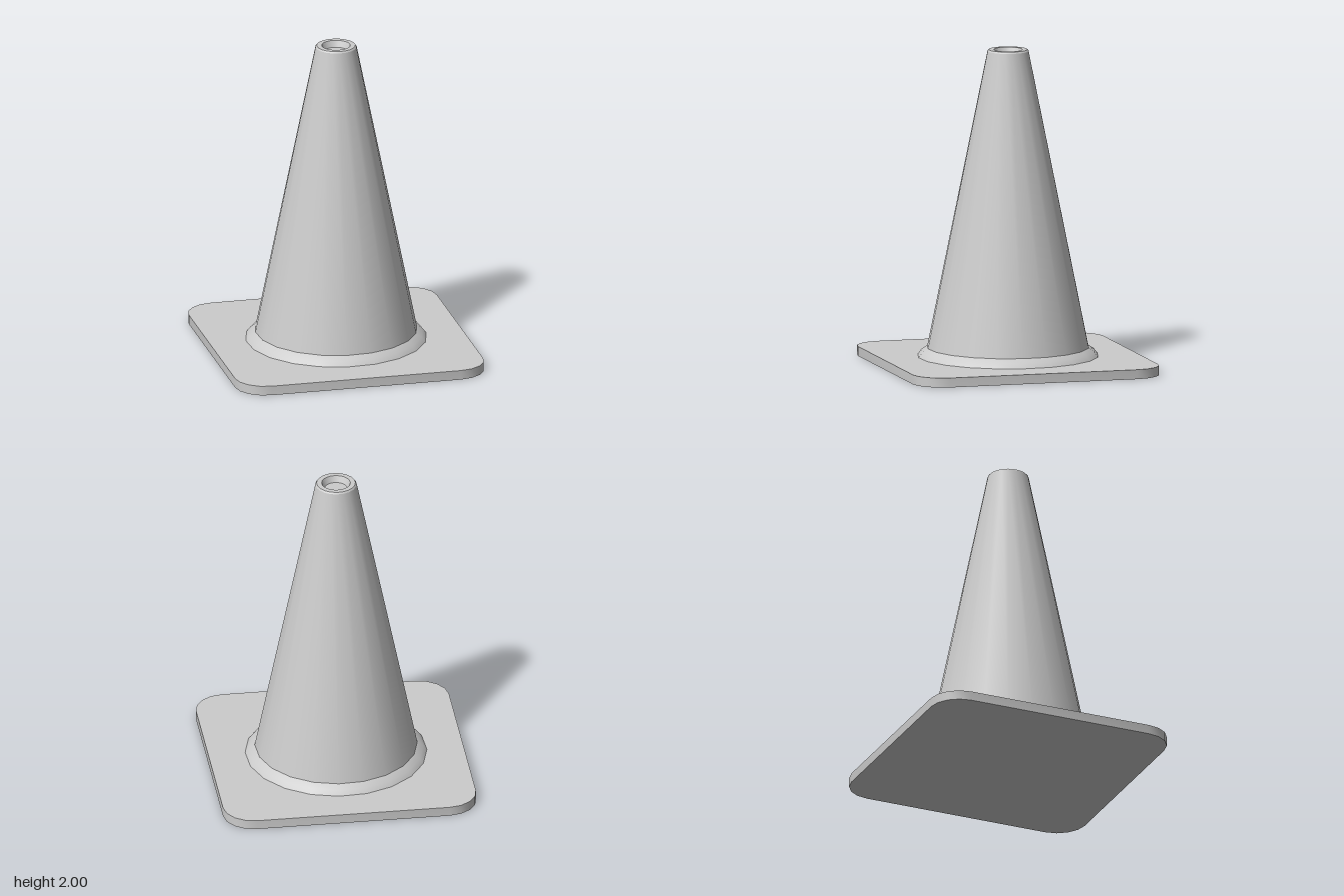
import * as THREE from 'three';
import { toCreasedNormals } from 'three/addons/utils/BufferGeometryUtils.js';

const SIDES = 20;
const TURN = THREE.MathUtils.degToRad(12);

export function createModel() {
  const model = new THREE.Group();
  const material = new THREE.MeshStandardMaterial({ color: 0xcccccc });

  function add(name, geometry) {
    const mesh = new THREE.Mesh(geometry, material);
    mesh.name = name;
    model.add(mesh);
  }

  // Turned part from [radius, height] pairs, listed so that faces look outward
  function addTurned(name, profile) {
    const points = profile.map(([r, y]) => new THREE.Vector2(r, y));
    add(name, new THREE.LatheGeometry(points, SIDES, TURN));
  }

  // Square base plate with rounded corners
  const half = 0.8, radius = 0.19, c = half - radius;
  const outline = new THREE.Shape();
  for (let i = 0; i < 4; i++) {
    const a = (i * Math.PI) / 2;
    const sx = i === 0 || i === 3 ? 1 : -1;
    const sy = i < 2 ? 1 : -1;
    for (let k = 0; k <= 4; k++) {
      const t = a + (k * Math.PI) / 8;
      const x = sx * c + radius * Math.cos(t), y = sy * c + radius * Math.sin(t);
      if (i + k === 0) outline.moveTo(x, y);
      else outline.lineTo(x, y);
    }
  }
  outline.closePath();
  const plate = new THREE.ExtrudeGeometry(outline, { depth: 0.06, bevelEnabled: false });
  plate.rotateX(-Math.PI / 2);
  add('basePlate', toCreasedNormals(plate, Math.PI / 6));

  // Rounded collar where the cone meets the plate
  addTurned('collar', [[0.57, 0.06], [0.547, 0.09], [0.51, 0.115]]);

  // Tapering body
  addTurned('coneBody', [[0.51, 0.115], [0.13, 1.99]]);

  // Rim with a softened outer edge
  addTurned('rimEdge', [[0.13, 1.99], [0.122, 2]]);
  addTurned('rimTop', [[0.122, 2], [0.09, 2]]);

  // Shallow recess in the tip
  addTurned('recessWall', [[0.09, 2], [0.072, 1.96]]);
  addTurned('recessFloor', [[0.072, 1.96], [0, 1.96]]);

  return model;
}
